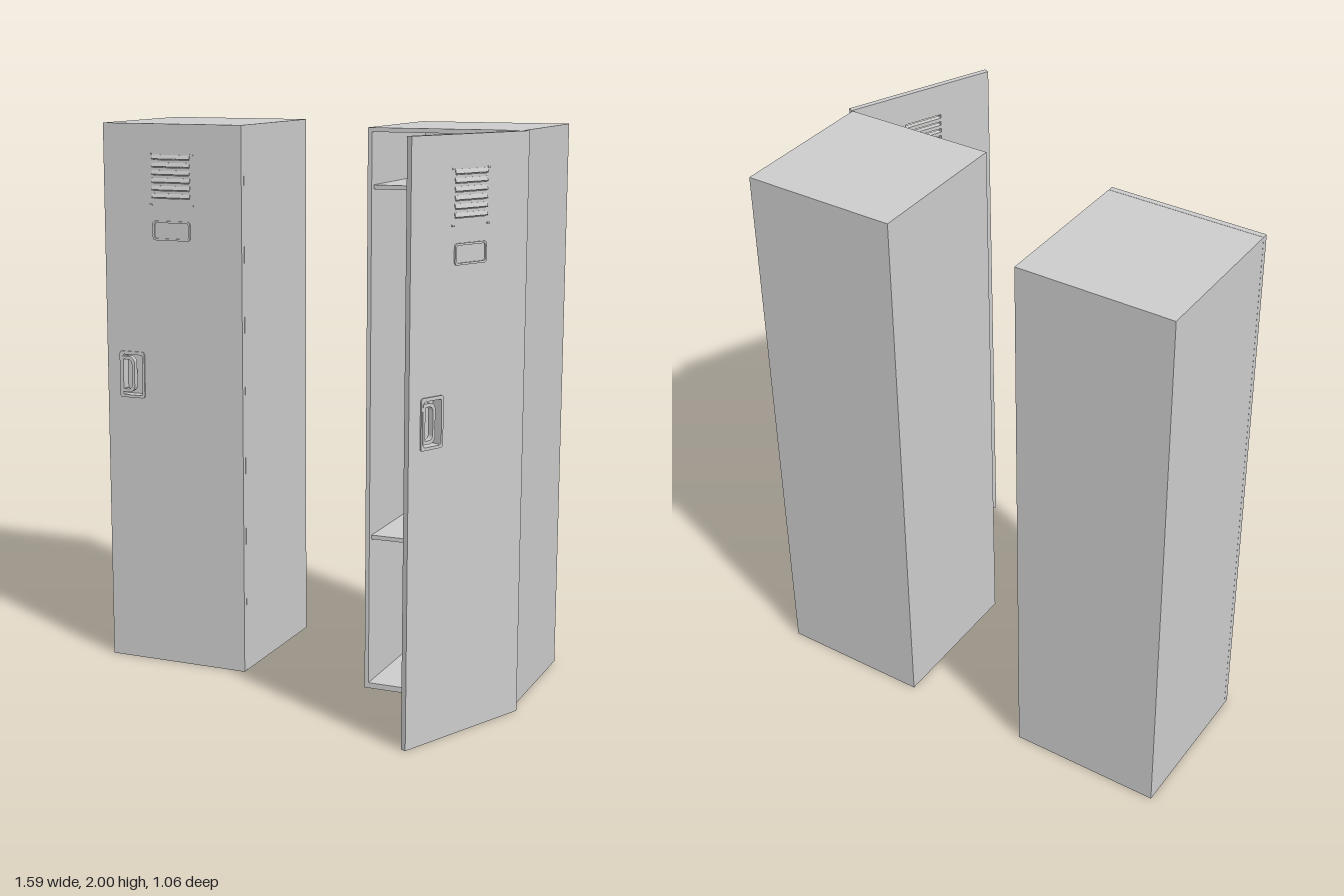
import * as THREE from 'three';

const mat = new THREE.MeshStandardMaterial({ color: 0xcccccc });
const W = 0.55, H = 2, T = 0.02;      // locker width, height, door thickness
const BACK = -0.53, FRONT = 0.02;

function add(parent, name, geo, x = 0, y = 0, z = 0) {
  const m = new THREE.Mesh(geo, mat);
  m.name = name;
  m.position.set(x, y, z);
  parent.add(m);
  return m;
}

// Box given by its two opposite corners
function block(parent, name, x0, y0, z0, x1, y1, z1) {
  return add(parent, name, new THREE.BoxGeometry(x1 - x0, y1 - y0, z1 - z0),
    (x0 + x1) / 2, (y0 + y1) / 2, (z0 + z1) / 2);
}

// Rectangle with separate corner radii on the left and right
function rect(x0, y0, x1, y1, rl = 0, rr = rl) {
  const s = new THREE.Shape();
  s.moveTo(x0 + rl, y0);
  s.lineTo(x1 - rr, y0);
  if (rr) s.absarc(x1 - rr, y0 + rr, rr, -Math.PI / 2, 0);
  s.lineTo(x1, y1 - rr);
  if (rr) s.absarc(x1 - rr, y1 - rr, rr, 0, Math.PI / 2);
  s.lineTo(x0 + rl, y1);
  if (rl) s.absarc(x0 + rl, y1 - rl, rl, Math.PI / 2, Math.PI);
  s.lineTo(x0, y0 + rl);
  if (rl) s.absarc(x0 + rl, y0 + rl, rl, Math.PI, Math.PI * 1.5);
  return s;
}

function plate(parent, name, shape, holes, z0, z1) {
  shape.holes.push(...holes);
  const geo = new THREE.ExtrudeGeometry(shape, { depth: z1 - z0, bevelEnabled: false, curveSegments: 6 });
  return add(parent, name, geo, 0, 0, z0);
}

// Coat hook on the back wall: mount, ball-tipped arm and lower prong
function coatHook(parent, x) {
  const g = new THREE.Group();
  g.name = 'coatHook';
  g.position.set(x, 1.66, BACK + 0.015);
  parent.add(g);
  plate(g, 'hookMount', rect(-0.014, -0.035, 0.014, 0.035, 0.012), [], 0, 0.006);
  const tube = pts => new THREE.TubeGeometry(
    new THREE.CatmullRomCurve3(pts.map(p => new THREE.Vector3(0, ...p))), 12, 0.007, 8);
  add(g, 'upperArm', tube([[0, 0.004], [0.004, 0.03], [0.022, 0.055], [0.034, 0.065]]));
  add(g, 'ballTip', new THREE.SphereGeometry(0.019, 16, 12), 0, 0.034, 0.07);
  add(g, 'lowerProng', tube([[-0.015, 0.004], [-0.035, 0.018], [-0.036, 0.034], [-0.02, 0.044]]));
  add(g, 'prongTip', new THREE.SphereGeometry(0.01, 12, 8), 0, -0.018, 0.044);
}

// Open-fronted cabinet with two shelves and a row of hooks
function cabinet() {
  const g = new THREE.Group();
  g.name = 'cabinet';
  const t = 0.015, h = W / 2;
  block(g, 'leftWall', h - t, 0, BACK, h, H, FRONT);
  block(g, 'rightWall', -h, 0, BACK, -h + t, H, FRONT);
  block(g, 'backWall', -h + t, 0, BACK, h - t, H, BACK + t);
  block(g, 'floor', -h + t, 0, BACK + t, h - t, 0.02, FRONT);
  block(g, 'roof', -h + t, H - t, BACK + t, h - t, H, FRONT);
  for (const y of [0.55, 1.79]) block(g, 'shelf', -h + t, y, BACK + t, h - t, y + t, 0);
  for (const x of [-0.155, 0, 0.155]) coatHook(g, x);
  return g;
}

// Door hinged at local x = 0, inner face at z = 0, outer face at z = T
function door() {
  const g = new THREE.Group();
  g.name = 'door';
  const cup = [-0.484, 1.01, -0.405, 1.16];
  const slots = [...Array(6)].map((_, i) => 1.735 + i * 0.0275);
  plate(g, 'doorPanel', rect(-W, 0, 0, H),
    [rect(...cup), ...slots.map(y => rect(-0.35, y, -0.205, y + 0.014))], 0, T);

  // Ventilation louvres sloping out over each slot
  for (const y of slots) {
    const s = new THREE.Shape([[0, 0.018], [0, 0.014], [0.006, 0.002], [0.008, 0.004], [0.003, 0.018]]
      .map(p => new THREE.Vector2(...p)));
    const m = add(g, 'ventLouvre', new THREE.ExtrudeGeometry(s, { depth: 0.151, bevelEnabled: false }),
      -0.353, y, T - 0.002);
    m.rotation.y = -Math.PI / 2;
    m.position.x += 0.151;
  }
  // Small corner tabs around the vent
  for (const x of [-0.36, -0.195]) for (const y of [1.712, 1.892])
    block(g, 'ventCorner', x - 0.006, y - 0.003, T, x + 0.006, y + 0.003, T + 0.003);

  // Name card holder
  plate(g, 'cardFrame', rect(-0.352, 1.585, -0.202, 1.655, 0.012),
    [rect(-0.345, 1.592, -0.209, 1.648, 0.008)], T, T + 0.005);

  // Recessed handle: bezel, cup and D-shaped pull
  plate(g, 'handleBezel', rect(-0.498, 1, -0.396, 1.172, 0.01), [rect(...cup, 0.006)], T, T + 0.005);
  plate(g, 'handleCupWalls', rect(cup[0] - 0.004, cup[1] - 0.004, cup[2] + 0.004, cup[3] + 0.004),
    [rect(...cup)], -0.018, 0.001);
  block(g, 'handleCupBack', cup[0], cup[1], -0.018, cup[2], cup[3], -0.014);
  plate(g, 'handlePull', rect(-0.492, 1.02, -0.436, 1.154, 0.004, 0.024),
    [rect(-0.482, 1.032, -0.447, 1.142, 0.003, 0.016)], 0.006, T + 0.007);

  // Hinge knuckles
  for (const y of [0.25, 1, 1.75])
    add(g, 'hingeKnuckle', new THREE.CylinderGeometry(0.004, 0.004, 0.08, 10), -0.004, y, 0);
  return g;
}

function locker(name, x, hingeOffset, angle) {
  const g = new THREE.Group();
  g.name = name;
  g.position.x = x;
  const d = door();
  d.position.set(W / 2 + hingeOffset, 0, FRONT + 0.001);
  d.rotation.y = angle;
  g.add(cabinet(), d);
  return g;
}

export function createModel() {
  const model = new THREE.Group();
  model.name = 'lockers';
  model.add(locker('closedLocker', -0.52, 0, 0));
  model.add(locker('openLocker', 0.498, 0.004, 1.148));
  return model;
}
